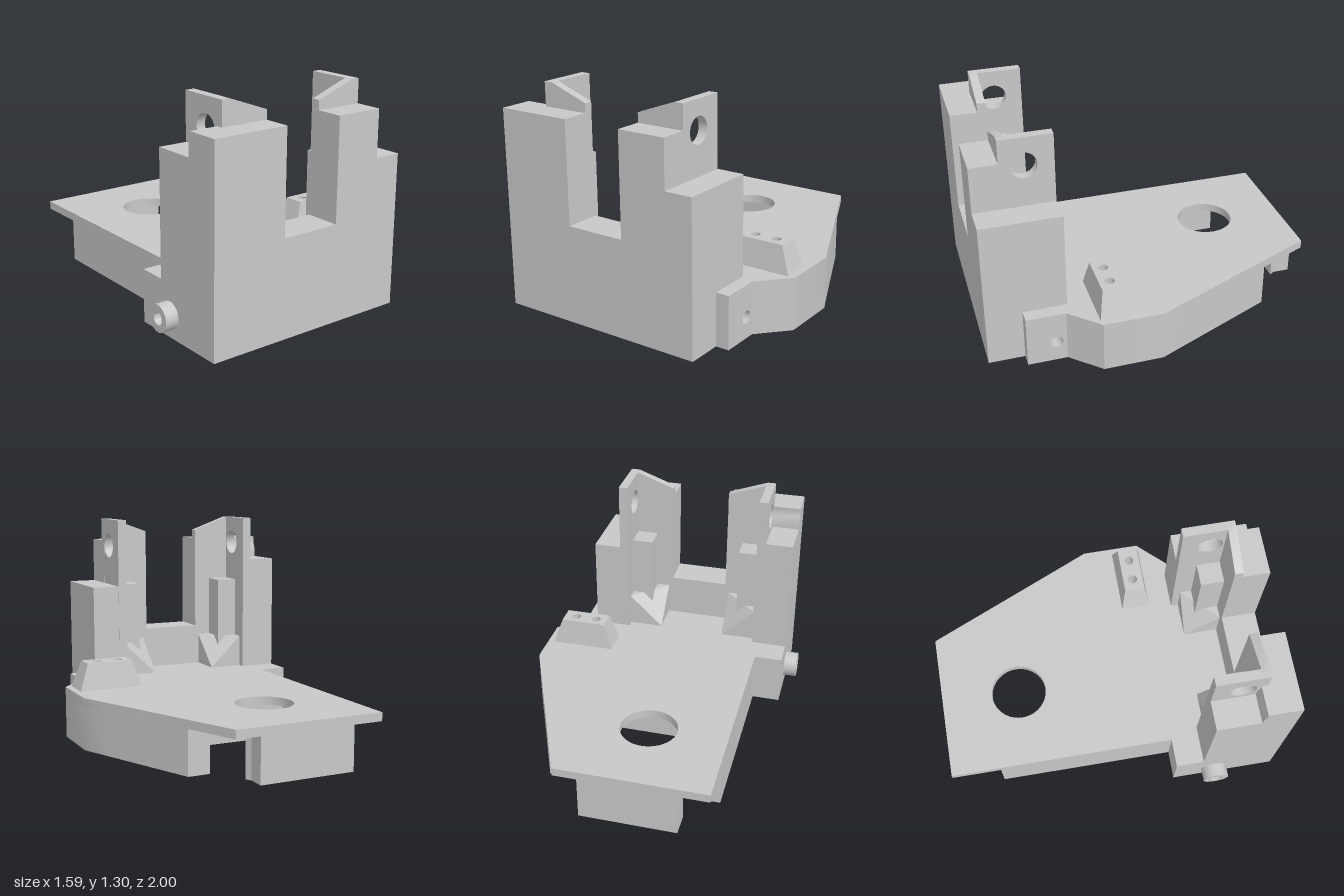
import * as THREE from 'three';
import { toCreasedNormals } from 'three/addons/utils/BufferGeometryUtils.js';
import { ConvexGeometry } from 'three/addons/geometries/ConvexGeometry.js';

const grey = new THREE.MeshStandardMaterial({ color: 0xc8c8c8 });
grey.name = 'grey plastic';

const rect = (a0, a1, b0, b1) => [[a0, b0], [a1, b0], [a1, b1], [a0, b1]];
// regular outline for round bores
const circle = (a, b, r) => Array.from({ length: 40 }, (_, i) => {
  const t = (i / 40) * Math.PI * 2;
  return [a + r * Math.cos(t), b + r * Math.sin(t)];
});

// extrude an outline with holes; sa and sb flip the first or second coordinate
function extrude(points, holes, depth, sa, sb) {
  // outline runs counter-clockwise, holes clockwise, so bore walls face inward
  const path = (list, clockwise) => {
    const v = list.map(([a, b]) => new THREE.Vector2(a * sa, b * sb));
    return THREE.ShapeUtils.isClockWise(v) === clockwise ? v : v.reverse();
  };
  const shape = new THREE.Shape(path(points, false));
  shape.holes = holes.map((h) => new THREE.Path(path(h, true)));
  return new THREE.ExtrudeGeometry(shape, { depth, bevelEnabled: false });
}
// outlines in (x, z), (z, y) and (x, y)
const prismY = (pts, y0, y1, holes = []) =>
  extrude(pts, holes, y1 - y0, 1, -1).rotateX(-Math.PI / 2).translate(0, y0, 0);
const prismX = (pts, x0, x1, holes = []) =>
  extrude(pts, holes, x1 - x0, -1, 1).rotateY(Math.PI / 2).translate(x0, 0, 0);
const prismZ = (pts, z0, z1, holes = []) =>
  extrude(pts, holes, z1 - z0, 1, 1).translate(0, 0, z0);

export function createModel() {
  const group = new THREE.Group();
  const add = (name, geometry) => {
    const mesh = new THREE.Mesh(toCreasedNormals(geometry, 0.5), grey);
    mesh.name = name;
    group.add(mesh);
  };

  // base: thin deck over a hollow body open at the back
  const flank = [
    [0.71, -0.15], [0.793, 0.04], [0.793, 0.39], [0.633, 0.56], [0.553, 0.56],
    [0.553, 1], [-0.717, 1], [-0.717, 0.367], [-0.548, 0.367],
  ];
  add('deck', prismY([[-0.548, -1], [0.342, -1], ...flank], 0.26, 0.31,
    [circle(-0.083, -0.52, 0.169)]));
  add('baseBody', prismY([
    [-0.548, -0.7], [-0.41, -0.7], [-0.41, -0.17], [0.573, -0.17], [0.343, -0.7], [0.472, -0.7],
    ...flank,
  ], 0, 0.26, [
    rect(0.18, 0.5, 0.42, 0.76), rect(-0.58, -0.26, 0.41, 0.75),
    circle(0.4, -0.02, 0.09), circle(-0.6, 0.89, 0.037),
  ]));
  add('backFoot', prismY(
    [[-0.37, -1], [0.2, -1], [0.2, -0.9], [0.22, -0.87], [-0.37, -0.87]], 0, 0.26));
  add('sideLug', prismX(rect(0.56, 0.79, 0, 0.31), 0.553, 0.633, [circle(0.62, 0.125, 0.037)]));
  add('sidePeg', prismX(circle(0.615, 0.13, 0.078), -0.795, -0.717, [circle(0.615, 0.13, 0.037)]));

  // tapered block with two bores: only the outer top corners move inward
  const block = prismY(rect(0.363, 0.753, 0.22, 0.395), 0.31, 0.47,
    [circle(0.488, 0.305, 0.028), circle(0.622, 0.305, 0.028)]);
  const p = block.attributes.position;
  for (let i = 0; i < p.count; i++) {
    const x = p.getX(i), z = p.getZ(i);
    if (p.getY(i) > 0.4 && Math.abs(x - 0.558) > 0.18) {
      p.setX(i, x < 0.5 ? 0.418 : 0.698);
      p.setZ(i, z < 0.3 ? 0.245 : 0.368);
    }
  }
  block.computeVertexNormals();
  add('taperedBlock', block);

  // front wall with the wide gap between the towers
  add('frontWall', prismZ([
    [-0.548, 0.31], [0.553, 0.31], [0.553, 0.89], [0.388, 0.89], [0.388, 1.165], [0.098, 1.165],
    [0.098, 0.57], [-0.262, 0.57], [-0.262, 1.165], [-0.548, 1.165],
  ], 0.79, 1));
  add('rightShoulder', prismX(rect(0.535, 0.79, 0.31, 0.89), 0.388, 0.553));
  // outer shoulder with a shallow round relief beside the ear bore
  add('leftShoulder', prismX([
    [0.535, 0.31], [1, 0.31], [1, 1.165], [0.802, 1.165], [0.805, 1.14],
    [0.802, 1.115], [0.79, 1.09], [0.79, 1.03], [0.535, 1.03],
  ], -0.717, -0.548));

  // mirrored tower parts
  for (const side of ['right', 'left']) {
    const m = (x) => (side === 'right' ? x : -0.162 - x);
    const span = (a, b) => [Math.min(m(a), m(b)), Math.max(m(a), m(b))];
    add(side + 'Ear', prismX(rect(0.535, 0.79, 0.31, 1.305), ...span(0.333, 0.387),
      [circle(0.705, 1.138, 0.076)]));
    add(side + 'EarBrace', prismZ([
      [m(0.099), 1.165], [m(0.387), 1.165], [m(0.387), 1.305], [m(0.335), 1.305], [m(0.099), 1.22],
    ], 0.79, 0.84));
    add(side + 'Column', prismY(rect(...span(0.203, 0.333), 0.65, 0.79), 0.31, 0.89));
    // corner gusset sloping down to its free corner
    const v = (x, y, z) => new THREE.Vector3(m(x), y, z);
    add(side + 'Gusset', new ConvexGeometry([
      v(0.123, 0.31, 0.58),
      v(0.333, 0.31, 0.58), v(0.333, 0.51, 0.58),
      v(0.333, 0.31, 0.79), v(0.333, 0.51, 0.79),
      v(0.123, 0.31, 0.79), v(0.123, 0.51, 0.79),
    ]));
  }
  return group;
}
